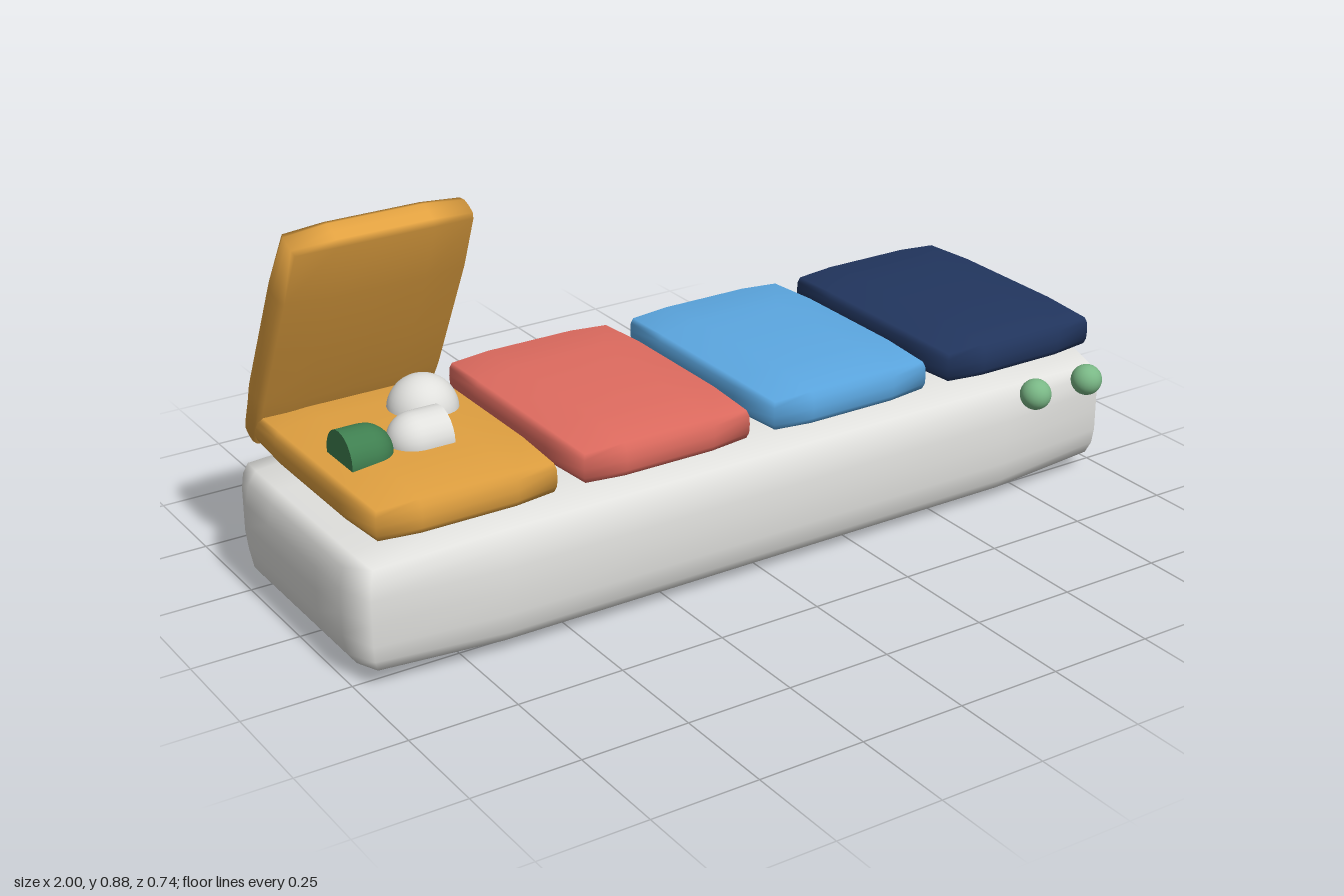
import * as THREE from 'three';
import { mergeVertices } from 'three/addons/utils/BufferGeometryUtils.js';

const paint = (name, color) => {
  const m = new THREE.MeshStandardMaterial({ color });
  m.name = name;
  return m;
};

// Box whose grid points are pulled onto a rounded hull of radius r
function softBox(w, h, d, r, n) {
  const geo = new THREE.BoxGeometry(w, h, d, n, n, n);
  const pos = geo.attributes.position;
  const core = new THREE.Vector3(w / 2 - r, h / 2 - r, d / 2 - r);
  const low = core.clone().negate();
  const p = new THREE.Vector3(), inner = new THREE.Vector3();
  for (let i = 0; i < pos.count; i++) {
    p.fromBufferAttribute(pos, i);
    inner.copy(p).clamp(low, core);
    p.sub(inner).setLength(r).add(inner);
    pos.setXYZ(i, p.x, p.y, p.z);
  }
  geo.deleteAttribute('normal');
  geo.deleteAttribute('uv');
  const merged = mergeVertices(geo, 1e-5);
  merged.computeVertexNormals();
  return merged;
}

export function createModel() {
  const model = new THREE.Group();
  model.name = 'pillOrganizer';

  const white = paint('shell white', 0xe0e0dd);
  const amber = paint('amber', 0xe0a040);
  const coral = paint('coral', 0xe06c60);
  const sky = paint('sky blue', 0x5ca8e2);
  const navy = paint('navy', 0x22365f);
  const green = paint('capsule green', 0x3f7f50);
  const mint = paint('button green', 0x7ab886);

  const add = (name, geo, mat, x, y, z, parent = model) => {
    const mesh = new THREE.Mesh(geo, mat);
    mesh.name = name;
    mesh.position.set(x, y, z);
    parent.add(mesh);
    return mesh;
  };

  // Tray body
  add('base', softBox(2, 0.315, 0.69, 0.1, 6), white, 0, 0.1575, -0.015);

  // Row of compartments, the first with its lid swung open
  const lidGeo = softBox(0.446, 0.1, 0.62, 0.04, 4);
  [amber, coral, sky, navy].forEach((mat, i) => {
    add(i ? 'closedLid' + i : 'openCompartment', lidGeo, mat, -0.732 + i * 0.488, 0.363, -0.015);
  });
  add('openLid', lidGeo, amber, -0.732, 0.596, -0.2).rotation.x = -1.1;

  // Round pill
  add('roundPill', new THREE.SphereGeometry(0.08, 32, 20), white, -0.63, 0.402, -0.107);

  // Two capsule halves, domes facing each other
  const capsuleHalf = (name, mat, x, length, dir) => {
    const half = new THREE.Group();
    half.name = name;
    half.position.set(x, 0.415, 0.047);
    half.rotation.z = -dir * Math.PI / 2;
    add(name + 'Body', new THREE.CylinderGeometry(0.061, 0.061, length, 24), mat, 0, -length / 2, 0, half);
    add(name + 'Dome', new THREE.SphereGeometry(0.061, 24, 10, 0, Math.PI * 2, 0, Math.PI / 2), mat, 0, 0, 0, half);
    model.add(half);
  };
  capsuleHalf('greenCapsuleHalf', green, -0.848, 0.057, 1);
  capsuleHalf('whiteCapsuleHalf', white, -0.73, 0.065, -1);

  // Front buttons
  for (const x of [0.745, 0.902]) {
    add('button', new THREE.SphereGeometry(0.037, 24, 16), mint, x, 0.265, 0.336);
  }

  return model;
}
